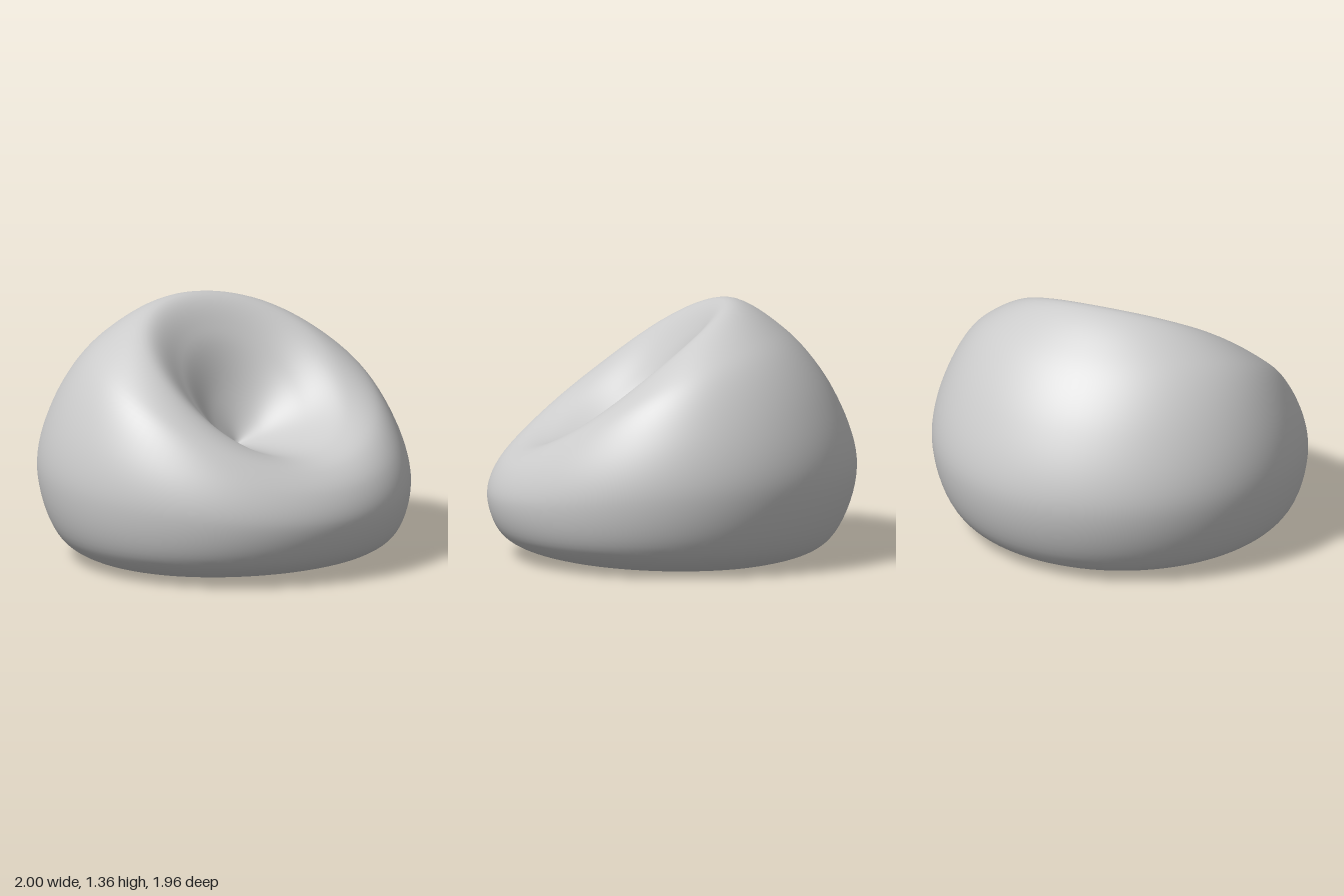
import * as THREE from 'three';
import { mergeVertices } from 'three/addons/utils/BufferGeometryUtils.js';

// Closed rings from the underside, up the outside, over the rim and into the seat.
// [half width, side height, front z, front height, back z, back height]
const RINGS = [
  [0.00, 0.04, 0.05, 0.04, 0.05, 0.04],
  [0.35, 0.035, 0.42, 0.05, -0.33, 0.025],
  [0.70, 0.02, 0.73, 0.04, -0.62, 0.005],
  [0.90, 0.13, 0.91, 0.13, -0.84, 0.10],
  [1.00, 0.45, 0.98, 0.33, -0.98, 0.47],
  [0.94, 0.77, 0.92, 0.49, -0.86, 0.87],
  [0.79, 1.00, 0.80, 0.585, -0.60, 1.20],
  [0.58, 1.05, 0.64, 0.62, -0.30, 1.36],
  [0.36, 0.90, 0.44, 0.62, -0.13, 1.18],
  [0.16, 0.72, 0.24, 0.615, -0.01, 0.86],
  [0.00, 0.61, 0.10, 0.61, 0.10, 0.61],
];

// Point of a ring at angle a, where 0 is the front and PI the back
function ringPoint([w, ys, zf, yf, zb, yb], a) {
  const c = Math.cos(a);
  const y = ys + ((yf - yb) / 2) * c + ((yf + yb) / 2 - ys) * c * c;
  return new THREE.Vector3(w * Math.sin(a), y, (zf + zb) / 2 + ((zf - zb) / 2) * c);
}

function bagGeometry(around = 96, along = 90) {
  const pos = [];
  const index = [];
  for (let i = 0; i < around; i++) {
    const a = (i / around) * Math.PI * 2;
    const curve = new THREE.CatmullRomCurve3(RINGS.map((r) => ringPoint(r, a)));
    for (let j = 0; j <= along; j++) pos.push(...curve.getPoint(j / along).toArray());
  }
  const id = (i, j) => (i % around) * (along + 1) + j;
  for (let i = 0; i < around; i++) {
    for (let j = 0; j < along; j++) {
      const a = id(i, j), b = id(i + 1, j), c = id(i + 1, j + 1), d = id(i, j + 1);
      if (j > 0) index.push(a, b, c);
      if (j < along - 1) index.push(a, c, d);
      else if (j === 0) index.push(a, c, d);
    }
  }
  const geo = new THREE.BufferGeometry();
  geo.setAttribute('position', new THREE.Float32BufferAttribute(pos, 3));
  geo.setIndex(index);
  const merged = mergeVertices(geo, 1e-4);
  merged.computeVertexNormals();
  return merged;
}

export function createModel() {
  const group = new THREE.Group();
  group.name = 'beanBagChair';
  const bag = new THREE.Mesh(bagGeometry(), new THREE.MeshStandardMaterial({ color: 0xcccccc }));
  bag.name = 'bag';
  group.add(bag);
  return group;
}
